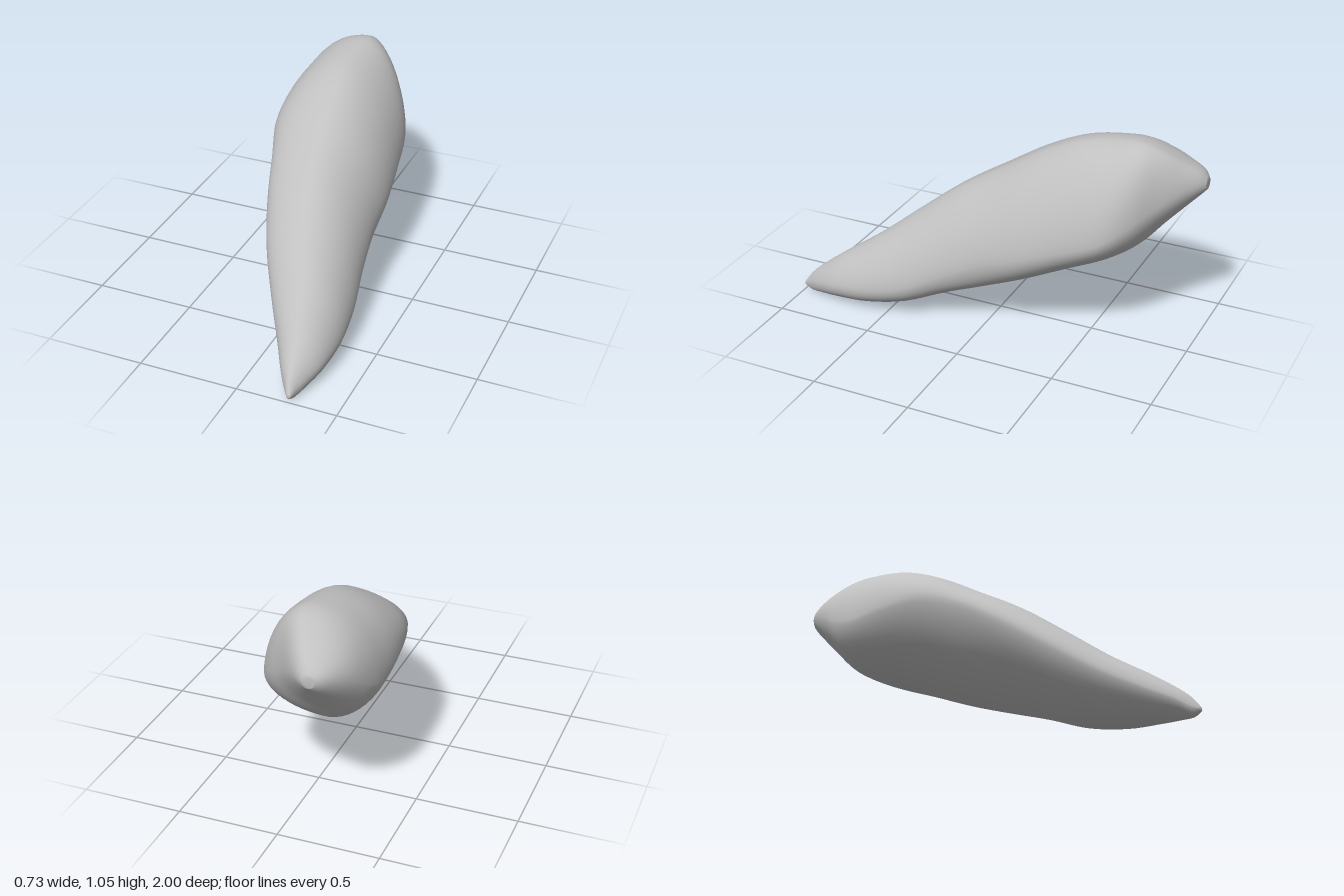
import * as THREE from 'three';

// Cross-sections along z:
// [z, xLeft, xRight, yBottom, yTop, yAtLeft, xAtTop, yAtRight, xAtBottom]
const SECTIONS = [
  [1, 0.252, 0.272, 0.022, 0.045, 0.034, 0.262, 0.034, 0.264],
  [0.96, 0.222, 0.286, 0.002, 0.1, 0.05, 0.25, 0.05, 0.262],
  [0.9, 0.18, 0.312, 0.006, 0.155, 0.09, 0.24, 0.07, 0.265],
  [0.78, 0.11, 0.35, 0.016, 0.245, 0.15, 0.215, 0.1, 0.26],
  [0.6, 0, 0.363, 0.03, 0.365, 0.25, 0.16, 0.13, 0.25],
  [0.4, -0.115, 0.345, 0.07, 0.52, 0.39, 0.085, 0.18, 0.225],
  [0.2, -0.2, 0.31, 0.148, 0.67, 0.53, 0.03, 0.28, 0.19],
  [0, -0.265, 0.288, 0.215, 0.79, 0.65, -0.01, 0.38, 0.15],
  [-0.2, -0.335, 0.283, 0.285, 0.91, 0.715, -0.035, 0.45, 0.09],
  [-0.4, -0.365, 0.26, 0.365, 1.0, 0.71, -0.055, 0.525, 0.015],
  [-0.6, -0.368, 0.225, 0.44, 1.04, 0.69, -0.06, 0.6, -0.08],
  [-0.72, -0.355, 0.155, 0.505, 1.046, 0.72, -0.045, 0.68, -0.14],
  [-0.82, -0.327, 0.05, 0.613, 1.008, 0.78, -0.06, 0.76, -0.165],
  [-0.91, -0.285, -0.035, 0.71, 0.948, 0.82, -0.11, 0.82, -0.17],
  [-0.97, -0.24, -0.095, 0.775, 0.905, 0.84, -0.15, 0.84, -0.17],
  [-1, -0.195, -0.135, 0.81, 0.868, 0.84, -0.165, 0.84, -0.165],
];

const RINGS = 75;
const QUARTER = 12;

// Smooth curve through one extreme point of every section
const rail = (pick) => new THREE.CatmullRomCurve3(
  SECTIONS.map((s) => new THREE.Vector3(...pick(s), s[0])), false, 'catmullrom', 0.5);

function createBodyGeometry() {
  const right = rail((s) => [s[2], s[7]]);
  const top = rail((s) => [s[6], s[4]]);
  const left = rail((s) => [s[1], s[5]]);
  const bottom = rail((s) => [s[8], s[3]]);
  // Each quarter: side rail, crest rail, roundness (2 = ellipse, less = flatter)
  const quarters = [[right, top, 1.65], [left, top, 2], [left, bottom, 1.48], [right, bottom, 2.1]];
  const positions = [];
  const indices = [];
  const count = QUARTER * 4;

  for (let i = 0; i <= RINGS; i++) {
    const t = i / RINGS;
    // Flattened quarters become round towards the thick end
    const blend = THREE.MathUtils.smoothstep(t, 0.55, 0.9);
    quarters.forEach(([sideRail, crestRail, flatness], q) => {
      const power = THREE.MathUtils.lerp(flatness, 2, blend);
      const side = sideRail.getPoint(t);
      const crest = crestRail.getPoint(t);
      for (let k = 0; k < QUARTER; k++) {
        const step = k / QUARTER;
        const a = (q % 2 ? 1 - step : step) * Math.PI / 2;
        const u = Math.pow(Math.abs(Math.cos(a)), 2 / power);
        const v = Math.pow(Math.abs(Math.sin(a)), 2 / power);
        positions.push(
          crest.x + (side.x - crest.x) * u,
          side.y + (crest.y - side.y) * v,
          side.z);
      }
    });
  }

  for (let i = 0; i < RINGS; i++) {
    for (let j = 0; j < count; j++) {
      const a = i * count + j;
      const b = i * count + (j + 1) % count;
      indices.push(a, a + count, b, b, a + count, b + count);
    }
  }

  // Close the two small tips
  const last = RINGS * count;
  for (let j = 1; j < count - 1; j++) {
    indices.push(0, j, j + 1, last, last + j + 1, last + j);
  }

  const geometry = new THREE.BufferGeometry();
  geometry.setAttribute('position', new THREE.Float32BufferAttribute(positions, 3));
  geometry.setIndex(indices);
  geometry.computeVertexNormals();
  return geometry;
}

export function createModel() {
  const group = new THREE.Group();
  group.name = 'taperedForm';
  const paleGrey = new THREE.MeshStandardMaterial({ color: 0xc0c0c0 });
  paleGrey.name = 'paleGrey';
  const body = new THREE.Mesh(createBodyGeometry(), paleGrey);
  body.name = 'body';
  group.add(body);
  return group;
}
